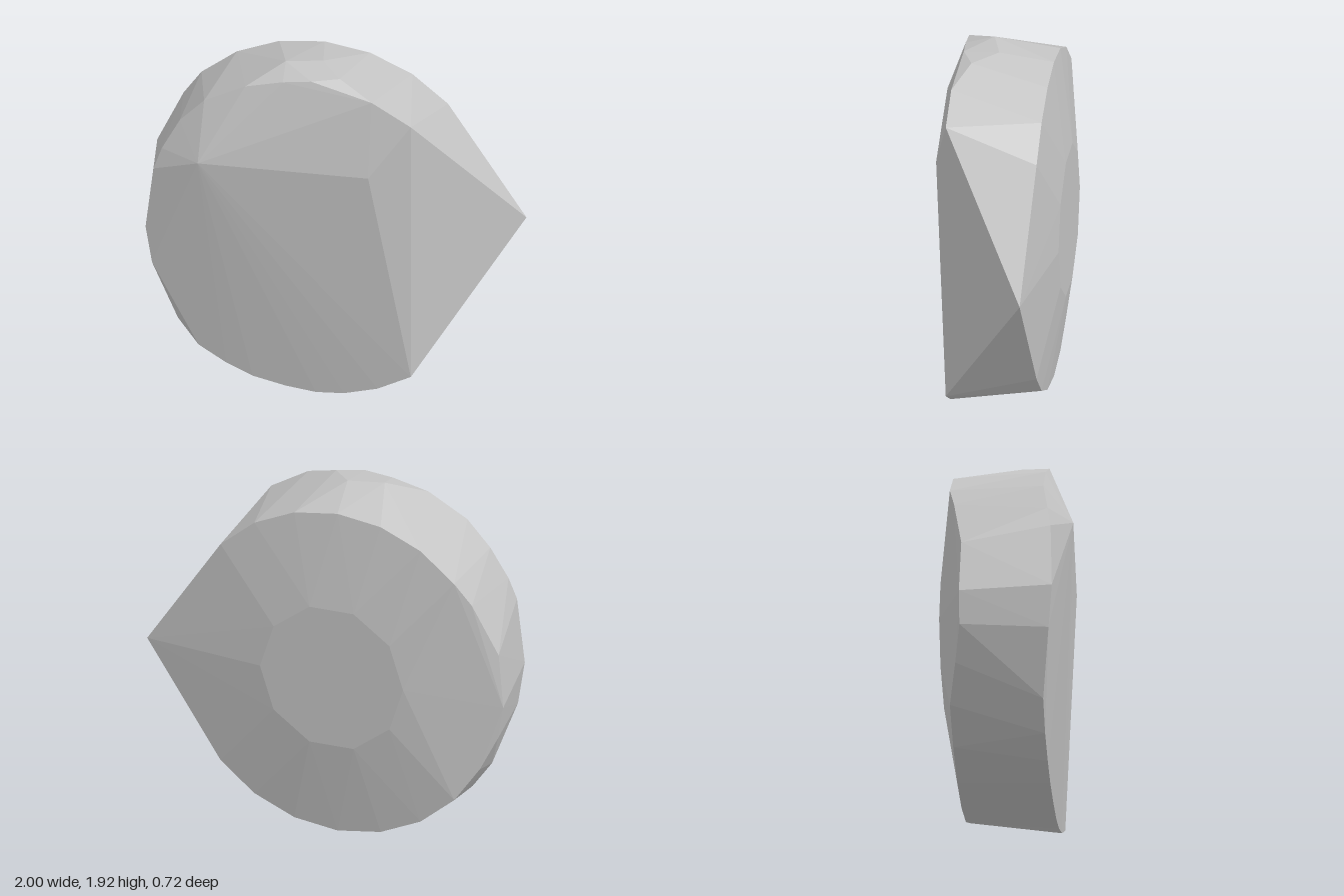
import * as THREE from 'three';
import { ConvexGeometry } from 'three/addons/geometries/ConvexGeometry.js';

export function createModel() {
  const group = new THREE.Group();
  const stone = new THREE.MeshStandardMaterial({ color: 0xc4c4c4 });
  stone.name = 'light stone grey';
  const points = [];
  const add = (x, y, z) => points.push(new THREE.Vector3(x, y, z));
  const ring = (radius, z, from, to, count) => {
    for (let i = 0; i < count; i++) {
      const a = THREE.MathUtils.degToRad(from + (to - from) * i / (count - 1));
      add(-0.09 + radius * Math.cos(a), 0.955 + radius * Math.sin(a), z);
    }
  };

  // flat back and the bevel rim around it, open at the tip and the left bulge
  ring(0.405, -0.36, 0, 324, 10);
  ring(0.905, -0.28, 43, 137, 7);
  ring(0.905, -0.28, 223, 317, 7);

  // pointed side
  add(1, 0.95, -0.25);

  // bulging edge opposite the point
  [[-0.84, 1.45, -0.25], [-0.97, 1.17, -0.2], [-1, 0.88, -0.21],
    [-0.97, 0.7, -0.21], [-0.88, 0.52, -0.24]].forEach(p => add(...p));

  // front rim, bottom
  [[0.49, 0.17], [0.31, 0.07], [0.13, 0.015], [-0.02, 0], [-0.18, 0.015],
    [-0.36, 0.05], [-0.5, 0.11], [-0.65, 0.2], [-0.76, 0.35]].forEach(([x, y]) => add(x, y, 0.21));

  // front rim, side
  [[-0.89, 0.7, 0.25], [-0.92, 0.93, 0.27], [-0.88, 1.29, 0.26], [-0.84, 1.41, 0.24],
    [-0.75, 1.58, 0.21]].forEach(p => add(...p));

  // front rim, top, and the small crown facets
  [[-0.62, 1.72, 0.21], [-0.4, 1.84, 0.21], [-0.2, 1.89, 0.2], [-0.05, 1.91, 0.19],
    [0.28, 1.84, 0.21], [0.49, 1.72, 0.21],
    [-0.22, 1.925, 0.05], [-0.03, 1.925, 0], [0.09, 1.91, 0.13]].forEach(p => add(...p));

  // raised ridge on the front
  add(-0.62, 1.42, 0.355);
  add(0.28, 1.42, 0.29);

  const rock = new THREE.Mesh(new ConvexGeometry(points), stone);
  rock.name = 'facetedStone';
  group.add(rock);
  return group;
}
